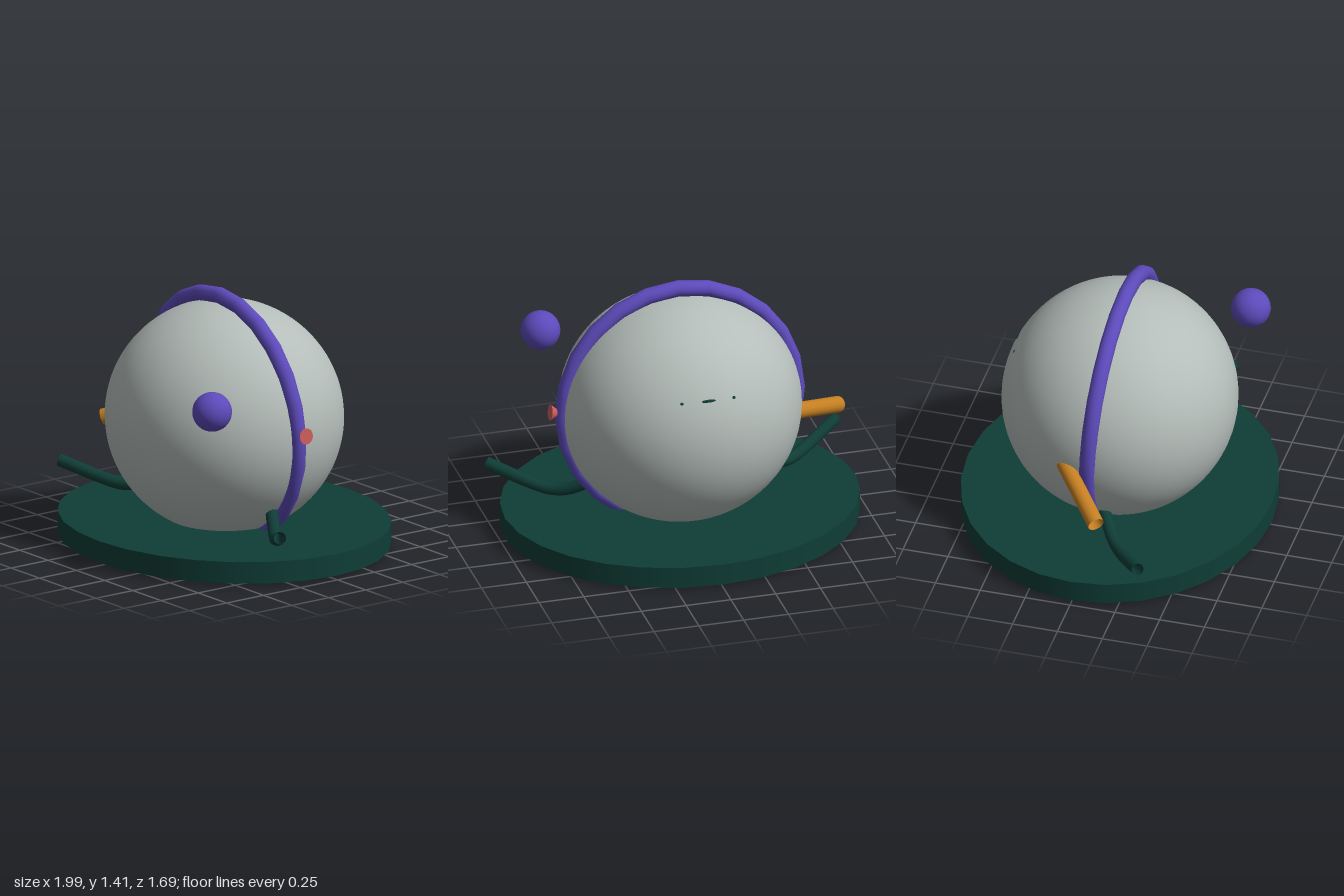
import * as THREE from 'three';

const mat = (name, color) => Object.assign(new THREE.MeshStandardMaterial({ color }), { name });

export function createModel() {
  const model = new THREE.Group();
  const grey = mat('pale grey', 0xb4bdb9);
  const green = mat('dark green', 0x0f3d36);
  const purple = mat('purple', 0x5d4abb);
  const orange = mat('orange', 0xc57f22);
  const red = mat('coral red', 0xc85a5a);
  const greenOpen = mat('dark green tube', 0x0f3d36);
  greenOpen.side = THREE.DoubleSide;
  orange.side = THREE.DoubleSide;

  const add = (name, geometry, material, x = 0, y = 0, z = 0) => {
    const mesh = new THREE.Mesh(geometry, material);
    mesh.name = name;
    mesh.position.set(x, y, z);
    model.add(mesh);
    return mesh;
  };

  // Oval base plate
  add('base', new THREE.CylinderGeometry(1, 1, 0.12, 28), green, 0, 0.078, 0).scale.set(0.977, 1, 0.847);

  // Round body, a little wider than deep
  add('body', new THREE.SphereGeometry(1, 64, 48), grey, 0, 0.695, 0).scale.set(0.657, 0.636, 0.635);

  // Band around the body, leaning slightly forward
  const band = add('band', new THREE.TorusGeometry(0.664, 0.044, 12, 24), purple, 0, 0.709, 0);
  band.scale.x = 0.985;
  band.rotation.x = 0.05;

  // Floating ball
  add('ball', new THREE.SphereGeometry(0.107, 32, 20), purple, 0.62, 0.95, 0.557);

  // Waisted knob on the band
  const profile = [[0, -0.037], [0.044, -0.037], [0.02, 0], [0.02, 0], [0.044, 0.037], [0.044, 0.037], [0, 0.037]]
    .map(([r, y]) => new THREE.Vector2(r, y));
  const knob = add('knob', new THREE.LatheGeometry(profile, 20), red, 0.688, 0.735, 0);
  knob.rotation.z = -Math.PI / 2 + 0.15;

  // Straight spout on the right
  const spout = new THREE.LineCurve3(new THREE.Vector3(-0.53, 0.665, -0.2), new THREE.Vector3(-0.917, 0.502, 0.122));
  add('spout', new THREE.TubeGeometry(spout, 1, 0.045, 16), orange);

  // Bent arms, one on each side
  for (const [name, s] of [['leftArm', 1], ['rightArm', -1]]) {
    const path = new THREE.CatmullRomCurve3([
      [0.40, 0.31, -0.01], [0.50, 0.258, 0.06], [0.59, 0.208, 0.115], [0.67, 0.192, 0.17],
      [0.76, 0.212, 0.227], [0.975, 0.292, 0.37],
    ].map(([x, y, z]) => new THREE.Vector3(s * x, y, z)));
    add(name, new THREE.TubeGeometry(path, 24, 0.034, 12), greenOpen);
  }

  // Slivers of trim just breaking the surface at the back
  for (const [x, y, z, w] of [[0, 0.985, -0.565, 0.04], [-0.145, 0.98, -0.55, 0.01], [0.145, 0.98, -0.55, 0.01]]) {
    const trim = add('backTrim', new THREE.SphereGeometry(1, 12, 8), green, x, y, z);
    trim.scale.set(w, 0.008, 0.004);
    trim.rotation.x = 0.47;
  }
  return model;
}
